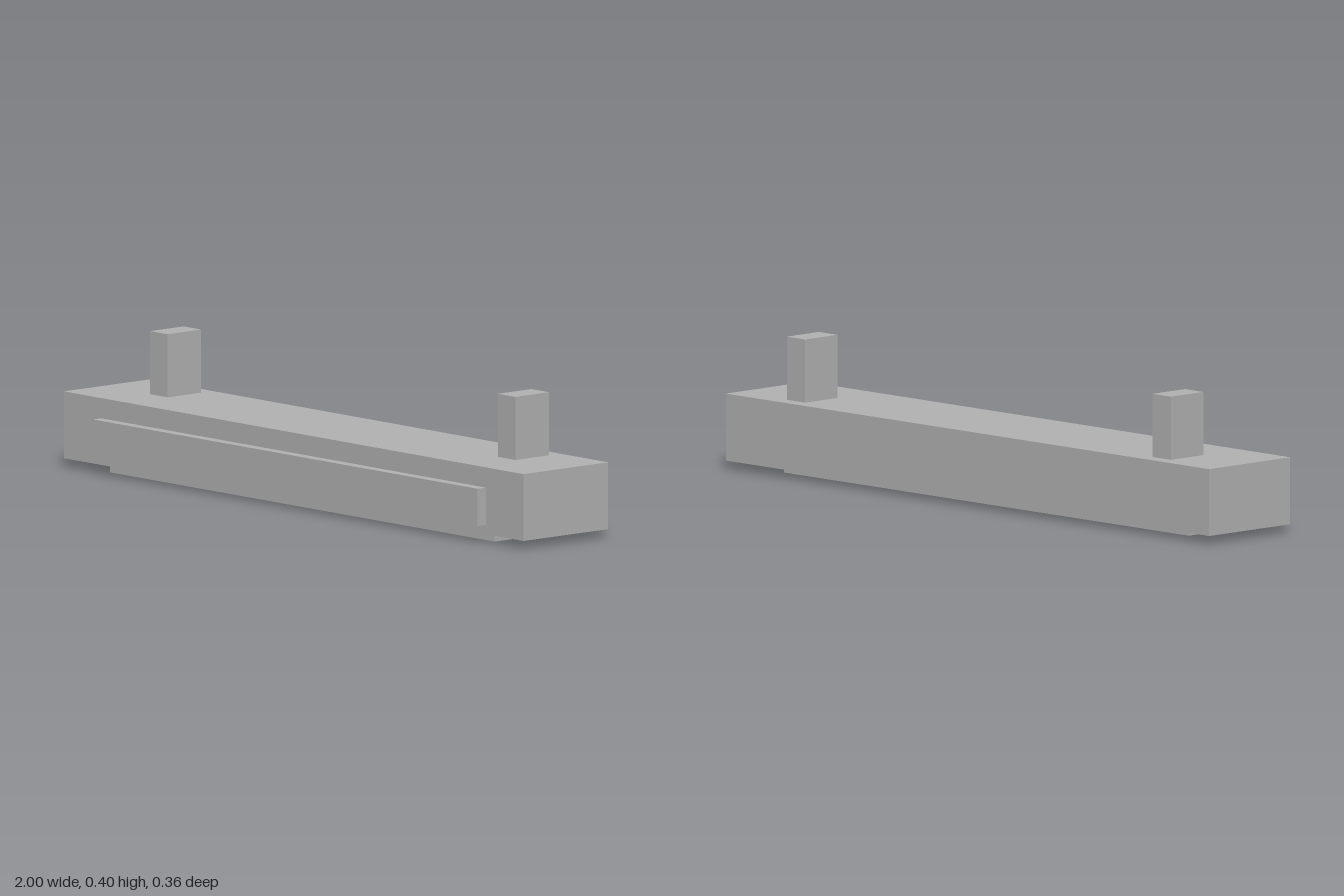
import * as THREE from 'three';

export function createModel() {
  const group = new THREE.Group();
  const grey = new THREE.MeshStandardMaterial({ color: 0xb2b2b2 });
  grey.name = 'grey';

  // Box given by its [min, max] extents on each axis
  function addBox(name, [x0, x1], [y0, y1], [z0, z1]) {
    const mesh = new THREE.Mesh(new THREE.BoxGeometry(x1 - x0, y1 - y0, z1 - z0), grey);
    mesh.position.set((x0 + x1) / 2, (y0 + y1) / 2, (z0 + z1) / 2);
    mesh.name = name;
    group.add(mesh);
  }

  // Long housing with a raised front panel and a plate underneath
  addBox('housing', [-1, 1], [0.025, 0.22], [-0.178, 0.147]);
  addBox('frontPanel', [-0.837, 0.837], [0.052, 0.161], [0.147, 0.179]);
  addBox('bottomPlate', [-0.837, 0.837], [0, 0.025], [-0.102, 0.114]);

  // Two mounting posts on top
  for (const [name, x] of [['rightPost', -0.759], ['leftPost', 0.755]]) {
    addBox(name, [x - 0.038, x + 0.038], [0.22, 0.404], [-0.134, -0.005]);
  }

  return group;
}
